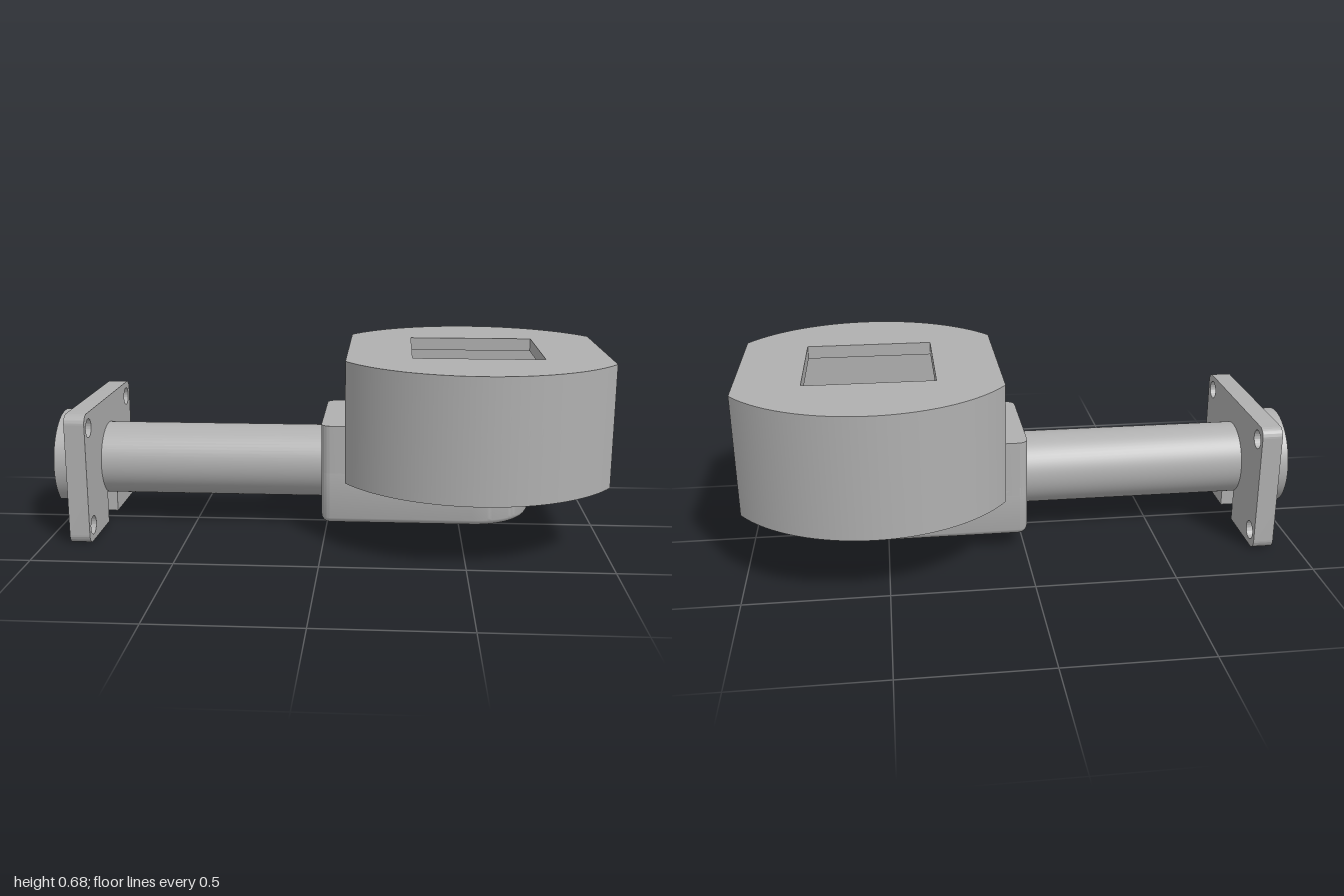
import * as THREE from 'three';
import { toCreasedNormals } from 'three/addons/utils/BufferGeometryUtils.js';

const H = Math.PI / 2;
const AXIS_Y = 0.24;            // height of the arm axis
const CX = 0.54, R = 0.552, HALF = 0.46, TOP = 0.675, BOTTOM = 0.24; // head
const HOLE_Y = 0.525;

const metal = new THREE.MeshStandardMaterial({ color: 0xb0b0b0, side: THREE.DoubleSide });
metal.name = 'grey metal';

function add(parent, name, geometry, x = 0, y = 0, z = 0) {
  const m = new THREE.Mesh(geometry, metal);
  m.name = name;
  m.position.set(x, y, z);
  parent.add(m);
  return m;
}

const circle = (x, y, r) => new THREE.Path().absarc(x, y, r, 0, Math.PI * 2, true);

function rectangle(x0, x1, y0, y1, Type = THREE.Shape) {
  const s = new Type();
  s.moveTo(x0, y0);
  s.lineTo(x1, y0);
  s.lineTo(x1, y1);
  s.lineTo(x0, y1);
  s.closePath();
  return s;
}

function extrude(shape, depth, bevel = 0) {
  const g = new THREE.ExtrudeGeometry(shape, {
    depth: depth - 2 * bevel, curveSegments: 32, bevelEnabled: bevel > 0,
    bevelSize: bevel, bevelThickness: bevel, bevelOffset: -bevel, bevelSegments: 6,
  });
  g.translate(0, 0, bevel);
  return g;
}
const alongX = (shape, length) => toCreasedNormals(extrude(shape, length).rotateY(H), 0.6);
const alongY = (shape, height, bevel) => toCreasedNormals(extrude(shape, height, bevel).rotateX(-H), 0.6);

// Finish an outline with the bore and the slot opening downwards from it
function cutKeyhole(s, bottom, bore = 0.1, half = 0.067) {
  const a = Math.acos(half / bore);
  s.lineTo(-half, bottom);
  s.lineTo(-half, -bore * Math.sin(a));
  s.absarc(0, 0, bore, Math.PI + a, -a, true);
  s.lineTo(half, bottom);
  s.closePath();
  return s;
}

function buildHead() {
  const head = new THREE.Group();
  head.name = 'head';
  const a = Math.acos(HALF / R), b = H - a, flatZ = R * Math.sin(a);
  const outline = () => new THREE.Shape()
    .absarc(0, 0, R, a, Math.PI - a, false)
    .absarc(0, 0, R, Math.PI + a, 2 * Math.PI - a, false);

  // Top face with the square opening, and bottom face
  const top = outline();
  top.holes.push(rectangle(-0.23, 0.23, -0.228, 0.228, THREE.Path));
  add(head, 'headTop', new THREE.ShapeGeometry(top, 48).rotateX(-H), CX, TOP);
  const fillet = 0.03;
  const pts = outline().getPoints(48).map((p) => new THREE.Vector2(Math.min(p.x, HALF - fillet), p.y));
  add(head, 'headBottom', new THREE.ShapeGeometry(new THREE.Shape(pts)).rotateX(H), CX, BOTTOM);

  // Curved sides
  for (const [name, start] of [['frontCurve', -b], ['backCurve', Math.PI - b]]) {
    add(head, name, new THREE.CylinderGeometry(R, R, TOP - BOTTOM, 48, 1, true, start, 2 * b),
      CX, (TOP + BOTTOM) / 2);
  }

  // Flat sides with screw holes; the outer one has a rounded lower edge
  for (const [name, side, low, wallX] of [
    ['outerFlat', 1, BOTTOM + fillet, 0.84], ['innerFlat', -1, BOTTOM, 0.28]]) {
    const flat = rectangle(-flatZ, flatZ, low, TOP);
    flat.holes.push(circle(0, HOLE_Y, 0.045));
    const x = CX + side * HALF;
    add(head, name, new THREE.ShapeGeometry(flat, 24).rotateY(side * H), x);
    add(head, 'screwBore', new THREE.CylinderGeometry(0.045, 0.045, Math.abs(x - wallX), 32, 1, true)
      .rotateZ(H), (x + wallX) / 2, HOLE_Y);
    // Cavity wall with the narrower end of the bore
    const wall = rectangle(-0.265, 0.265, 0.3, 0.628);
    wall.holes.push(circle(0, HOLE_Y, 0.028));
    add(head, 'cavityEndWall', new THREE.ShapeGeometry(wall, 24).rotateY(-side * H), wallX);
  }
  add(head, 'roundedEdge', new THREE.CylinderGeometry(fillet, fillet, 2 * flatZ, 8, 1, true, 0, H)
    .rotateX(H), CX + HALF - fillet, BOTTOM + fillet);

  // Cavity sides, floor, and the lip around the opening
  for (const s of [1, -1]) {
    add(head, 'cavitySideWall', new THREE.PlaneGeometry(0.56, 0.328)
      .rotateY(s > 0 ? Math.PI : 0), 0.56, 0.464, s * 0.265);
    add(head, 'lipSide', new THREE.PlaneGeometry(0.46, TOP - 0.628)
      .rotateY(s > 0 ? Math.PI : 0), CX, (TOP + 0.628) / 2, s * 0.228);
    add(head, 'lipEnd', new THREE.PlaneGeometry(0.456, TOP - 0.628)
      .rotateY(-s * H), CX + s * 0.23, (TOP + 0.628) / 2);
  }
  add(head, 'cavityFloor', new THREE.PlaneGeometry(0.56, 0.53).rotateX(-H), 0.56, 0.3);
  const under = rectangle(0.28, 0.84, -0.265, 0.265);
  under.holes.push(rectangle(0.31, 0.77, -0.228, 0.228, THREE.Path));
  add(head, 'lipUnderside', new THREE.ShapeGeometry(under).rotateX(H), 0, 0.628);
  return head;
}

function buildBase() {
  const base = new THREE.Group();
  base.name = 'base';
  const w = 0.22, r = 0.035, x0 = -0.01;
  // Plan: rounded corners at the arm end, open on the other end for a cap
  const plan = (round) => {
    const s = new THREE.Shape();
    s.moveTo(x0 + r, -w);
    if (round) s.absarc(0.535, 0, w, -H, H, false);
    else s.lineTo(0.1, -w).lineTo(0.1, w);
    s.lineTo(x0 + r, w);
    s.absarc(x0 + r, w - r, r, H, Math.PI, false);
    s.lineTo(x0, -w + r);
    s.absarc(x0 + r, -w + r, r, Math.PI, 1.5 * Math.PI, false);
    return s;
  };
  add(base, 'baseFoot', alongY(plan(true), 0.22, 0.03), 0, 0.06);
  add(base, 'baseShoulder', alongY(plan(false), 0.205), 0, 0.22);
  return base;
}

function buildArm() {
  const arm = new THREE.Group();
  arm.name = 'arm';

  // Hollow tube
  const ring = new THREE.Shape().absarc(0, 0, 0.135, 0, Math.PI * 2, false);
  ring.holes.push(circle(0, 0, 0.1));
  add(arm, 'tube', alongX(ring, 0.86), -0.85, AXIS_Y);

  // Mounting plate with four holes and a slot
  const w = 0.33, h = 0.2375, r = 0.035;
  const plate = new THREE.Shape();
  plate.moveTo(0.067, -h);
  plate.absarc(w - r, -h + r, r, -H, 0, false);
  plate.absarc(w - r, h - r, r, 0, H, false);
  plate.absarc(-w + r, h - r, r, H, Math.PI, false);
  plate.absarc(-w + r, -h + r, r, Math.PI, 1.5 * Math.PI, false);
  cutKeyhole(plate, -h);
  for (const x of [-0.275, 0.275]) {
    for (const y of [-0.181, 0.181]) plate.holes.push(circle(x, y, 0.034));
  }
  add(arm, 'mountingPlate', alongX(plate, 0.073), -0.908, h);

  // Slotted collar, flattened underneath
  const cut = Math.asin(0.135 / 0.182);
  const collar = new THREE.Shape().absarc(0, 0, 0.182, -cut, Math.PI + cut, false);
  cutKeyhole(collar, -0.135);
  add(arm, 'collar', alongX(collar, 0.095), -1, AXIS_Y);
  return arm;
}

export function createModel() {
  const model = new THREE.Group();
  model.name = 'mountedHead';
  model.add(buildHead(), buildBase(), buildArm());
  return model;
}
